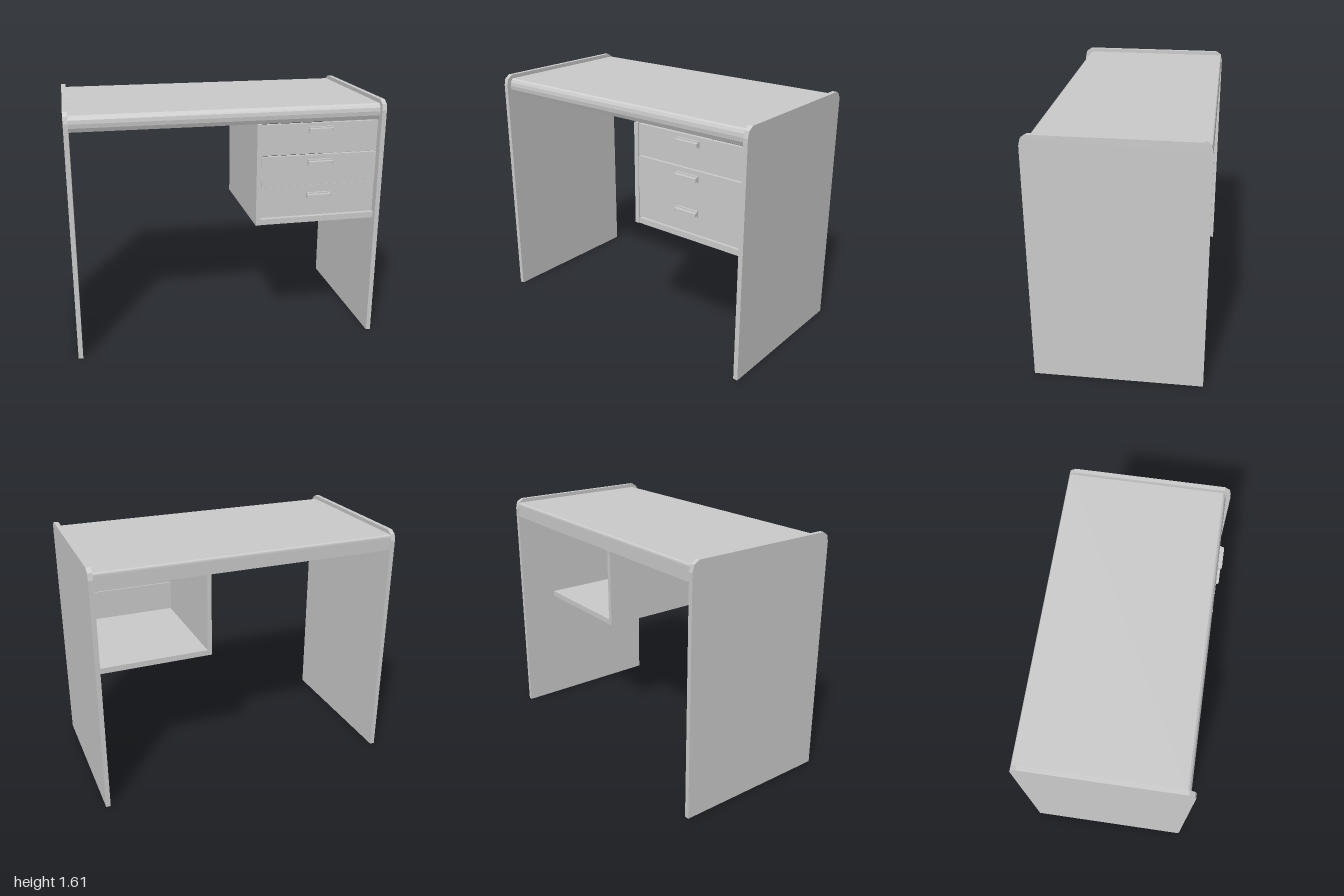
import * as THREE from 'three';

const material = new THREE.MeshStandardMaterial({ color: 0xcccccc, flatShading: true });

function add(parent, name, geometry) {
  const mesh = new THREE.Mesh(geometry, material);
  mesh.name = name;
  parent.add(mesh);
  return mesh;
}

// Box given by its minimum and maximum corners
function box(parent, name, [x0, y0, z0], [x1, y1, z1]) {
  const mesh = add(parent, name, new THREE.BoxGeometry(x1 - x0, y1 - y0, z1 - z0));
  mesh.position.set((x0 + x1) / 2, (y0 + y1) / 2, (z0 + z1) / 2);
  return mesh;
}

// Extrudes a side profile drawn in (z, y) from x0 to x1
function sideExtrude(parent, name, shape, x0, x1) {
  const geometry = new THREE.ExtrudeGeometry(shape, { depth: x1 - x0, bevelEnabled: false, curveSegments: 5 });
  // shape x -> -z, so profiles are drawn with z negated
  geometry.rotateY(Math.PI / 2);
  geometry.translate(x0, 0, 0);
  return add(parent, name, geometry);
}

// Drawer pull: mounting plate, rounded projecting grip and a slim lower lip
function createHandle(x, y, z, reach) {
  const handle = new THREE.Group();
  const w = 0.078, r = 0.012;
  const plan = new THREE.Shape();
  plan.moveTo(-w, 0);
  plan.lineTo(w, 0);
  plan.lineTo(w, reach - r);
  plan.quadraticCurveTo(w, reach, w - r, reach);
  plan.lineTo(-w + r, reach);
  plan.quadraticCurveTo(-w, reach, -w, reach - r);
  const grip = new THREE.ExtrudeGeometry(plan, { depth: 0.018, bevelEnabled: false, curveSegments: 4 });
  grip.rotateX(Math.PI / 2);
  add(handle, 'handleGrip', grip).position.y = 0.012;
  box(handle, 'handlePlate', [-w, -0.02, 0], [w, 0.02, 0.012]);
  box(handle, 'handleLip', [-w + 0.006, -0.014, 0], [w - 0.006, -0.006, reach - 0.012]);
  handle.position.set(x, y, z);
  return handle;
}

export function createModel() {
  const desk = new THREE.Group();
  desk.name = 'desk';

  // Side panels with clipped round upper corners
  const back = 0.535, front = -0.528, top = 1.605, cz = 0.045, cy = 0.065;
  const panel = new THREE.Shape();
  panel.moveTo(front, 0);
  panel.lineTo(back, 0);
  panel.lineTo(back, top - cy);
  panel.lineTo(back - 0.01, top - 0.023);
  panel.lineTo(back - cz, top);
  panel.lineTo(front + cz, top);
  panel.lineTo(front + 0.01, top - 0.023);
  panel.lineTo(front, top - cy);
  sideExtrude(desk, 'rightPanel', panel, -1, -0.97);
  sideExtrude(desk, 'leftPanel', panel, 0.97, 1);

  // Desktop with a rounded front nose and a lightly eased back edge
  const slab = new THREE.Shape();
  slab.moveTo(-0.485, 1.48);
  slab.lineTo(0.53, 1.48);
  slab.lineTo(0.53, 1.56);
  slab.quadraticCurveTo(0.53, 1.58, 0.518, 1.58);
  slab.lineTo(-0.475, 1.58);
  slab.bezierCurveTo(-0.497, 1.575, -0.51, 1.52, -0.485, 1.48);
  sideExtrude(desk, 'desktop', slab, -0.97, 0.97);

  // Drawer cabinet, open at the back
  const cabinet = new THREE.Group();
  cabinet.name = 'drawerCabinet';
  desk.add(cabinet);
  box(cabinet, 'cabinetWall', [0.17, 0.82, -0.28], [0.2, 1.48, 0.503]);
  box(cabinet, 'cabinetFloor', [0.2, 0.82, -0.28], [0.97, 0.858, 0.498]);

  // Drawer fronts: bottom, top, handle height, front face
  const drawers = [
    [1.278, 1.475, 1.433, 0.496],
    [1.073, 1.271, 1.222, 0.5],
    [0.868, 1.071, 1.002, 0.496],
  ];
  for (const [y0, y1, handleY, z] of drawers) {
    const drawer = new THREE.Group();
    drawer.name = 'drawer';
    box(drawer, 'drawerFront', [0.202, y0, z - 0.022], [0.96, y1, z]);
    const handle = createHandle(0.58, handleY, z, 0.035);
    handle.name = 'drawerHandle';
    drawer.add(handle);
    cabinet.add(drawer);
  }
  return desk;
}
